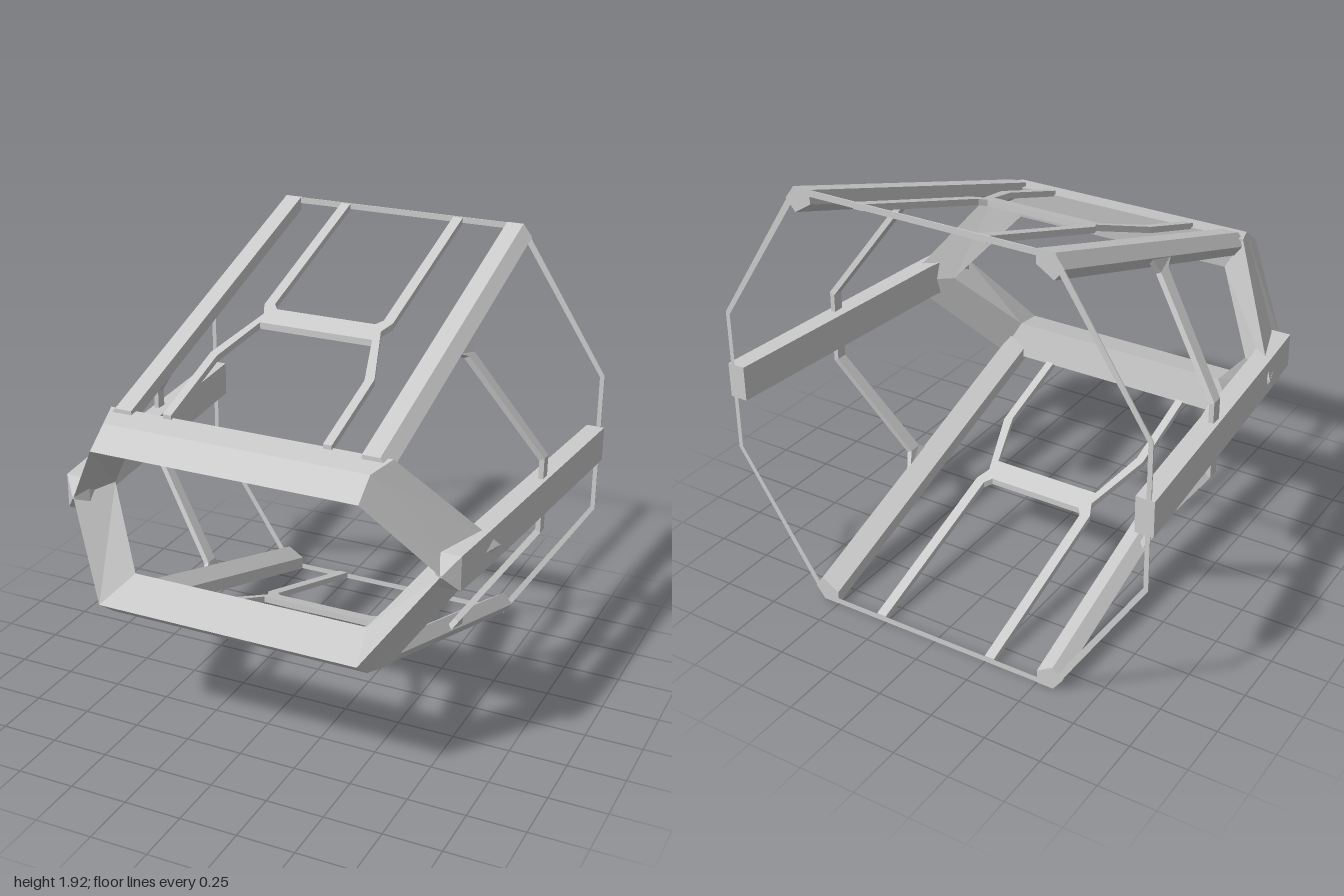
import * as THREE from 'three';

const MID = 0.96;    // height of the horizontal symmetry plane
const BACK = -0.865; // rear end of the frame
const material = new THREE.MeshStandardMaterial({ color: 0xcccccc, flatShading: true });

// height of the sloping roof plane (above the symmetry plane) at depth z
const roof = z => 0.96 - 0.331 * (z - BACK);

// reverse the winding of a non-indexed geometry
function flip(geo) {
  const p = geo.attributes.position;
  const a = new THREE.Vector3(), b = new THREE.Vector3();
  for (let i = 0; i < p.count; i += 3) {
    a.fromBufferAttribute(p, i + 1);
    b.fromBufferAttribute(p, i + 2);
    p.setXYZ(i + 1, b.x, b.y, b.z);
    p.setXYZ(i + 2, a.x, a.y, a.z);
  }
  return geo;
}

// signed volume, used to make every solid face outwards
function volume(geo) {
  const p = geo.attributes.position;
  const [a, b, c] = [0, 1, 2].map(() => new THREE.Vector3());
  let sum = 0;
  for (let i = 0; i < p.count; i += 3) {
    a.fromBufferAttribute(p, i);
    b.fromBufferAttribute(p, i + 1);
    c.fromBufferAttribute(p, i + 2);
    sum += a.dot(b.cross(c));
  }
  return sum;
}

// closed solid through a list of matching cross-sections
function loft(sections) {
  const out = [], n = sections[0].length;
  const tri = (...pts) => pts.forEach(q => out.push(...q));
  for (let s = 0; s < sections.length - 1; s++) {
    const A = sections[s], B = sections[s + 1];
    for (let i = 0; i < n; i++) {
      const j = (i + 1) % n;
      tri(A[i], A[j], B[j]);
      tri(A[i], B[j], B[i]);
    }
  }
  const first = sections[0], last = sections[sections.length - 1];
  for (let i = 1; i < n - 1; i++) {
    tri(first[0], first[i + 1], first[i]);
    tri(last[0], last[i], last[i + 1]);
  }
  const geo = new THREE.BufferGeometry();
  geo.setAttribute('position', new THREE.Float32BufferAttribute(out, 3));
  return volume(geo) < 0 ? flip(geo) : geo;
}

export function createModel() {
  const model = new THREE.Group();
  const frame = new THREE.Group();
  frame.name = 'canopyFrame';
  frame.position.y = MID;
  model.add(frame);

  // add one mirrored copy of a part
  function add(name, source, sx = 1, sy = 1) {
    const geo = source.clone().scale(sx, sy, 1);
    if (sx * sy < 0) flip(geo);
    geo.computeVertexNormals();
    const mesh = new THREE.Mesh(geo, material);
    mesh.name = name;
    frame.add(mesh);
  }
  const side = sx => (sx > 0 ? 'Left' : 'Right');
  const level = sy => (sy > 0 ? 'upper' : 'lower');

  // front window surround: half a hexagonal ring
  const tip = [[0.82, 0, 0.645], [0.845, 0, 0.55], [0.93, 0, 0.29], [0.75, 0, 0.43]];
  const corner = [[0.575, 0.34, 0.865], [0.575, 0.42, 0.76], [0.615, 0.44, 0.635], [0.525, 0.28, 0.66]];
  const mirrorX = loop => loop.map(([x, y, z]) => [-x, y, z]);
  const ring = loft([mirrorX(tip), mirrorX(corner), corner, tip]);

  // long sloping beam, faceted underneath
  const beamAt = z => [[0.5, 0], [0.575, 0], [0.617, -0.055], [0.575, -0.107], [0.5, -0.06]]
    .map(([x, y]) => [x, roof(z) + y, z]);
  const beam = loft([beamAt(0.67), beamAt(BACK)]);

  // horizontal side beam with a pointed nose
  const boxAt = (x0, x1, h, z) => [[x0, -h, z], [x1, -h, z], [x1, h, z], [x0, h, z]];
  const sideBeam = loft([
    boxAt(0.815, 0.825, 0.005, 0.645), boxAt(0.775, 0.882, 0.075, 0.59),
    boxAt(0.82, 0.905, 0.078, 0.35), boxAt(0.92, 1.0, 0.078, BACK),
  ]);

  // bent side strut, flaring where it meets the sloping beam
  const strutAt = (x, y, z0, z1, dy0 = 0, dy1 = 0) => [
    [x, y + dy0, z0], [x, y + dy1, z1], [x - 0.022, y + dy1 - 0.012, z1], [x - 0.022, y + dy0 - 0.012, z0],
  ];
  const strut = loft([
    strutAt(0.61, 0.655, -0.035, -0.19, -0.018, 0.02), strutAt(0.63, 0.61, -0.095, -0.155),
    strutAt(0.934, 0.17, -0.21, -0.26), strutAt(0.934, 0.06, -0.21, -0.26),
  ]);

  // flat roof lattice: two rails joined by a crossbar, splaying to the front
  const half = [[0.225, -0.07], [0.25, -0.1], [0.25, BACK], [0.295, BACK], [0.295, -0.09],
    [0.268, -0.03], [0.367, 0.255], [0.367, 0.65], [0.33, 0.65], [0.33, 0.27], [0.255, 0.028]];
  const outline = [...half, ...half.map(([x, z]) => [-x, z]).reverse()];
  const lattice = new THREE.ExtrudeGeometry(
    new THREE.Shape(outline.map(q => new THREE.Vector2(...q))), { depth: 0.028, bevelEnabled: false });
  const lp = lattice.attributes.position;
  for (let i = 0; i < lp.count; i++) {
    const x = lp.getX(i), z = lp.getY(i), d = lp.getZ(i);
    lp.setXYZ(i, x, roof(z) - 0.003 - d, z);
  }
  if (volume(lattice) < 0) flip(lattice);

  for (const sy of [1, -1]) {
    add(level(sy) + 'WindowSurround', ring, 1, sy);
    add(level(sy) + 'Lattice', lattice, 1, sy);
    for (const sx of [1, -1]) {
      add(level(sy) + side(sx) + 'Beam', beam, sx, sy);
      add(level(sy) + side(sx) + 'Strut', strut, sx, sy);
    }
  }
  for (const sx of [1, -1]) add('side' + side(sx) + 'Beam', sideBeam, sx);

  // thin rear hoop
  const octagon = (x0, y0, x1, y1) => [[x0, y0], [x1, y1], [x1, -y1], [x0, -y0],
    [-x0, -y0], [-x1, -y1], [-x1, y1], [-x0, y0]].map(q => new THREE.Vector2(...q));
  const hoopShape = new THREE.Shape(octagon(0.578, 0.958, 0.985, 0.322));
  hoopShape.holes.push(new THREE.Path(octagon(0.562, 0.932, 0.965, 0.314)));
  const hoop = new THREE.ExtrudeGeometry(hoopShape, { depth: 0.005, bevelEnabled: false });
  hoop.translate(0, 0, BACK);
  add('rearHoop', hoop);

  return model;
}
